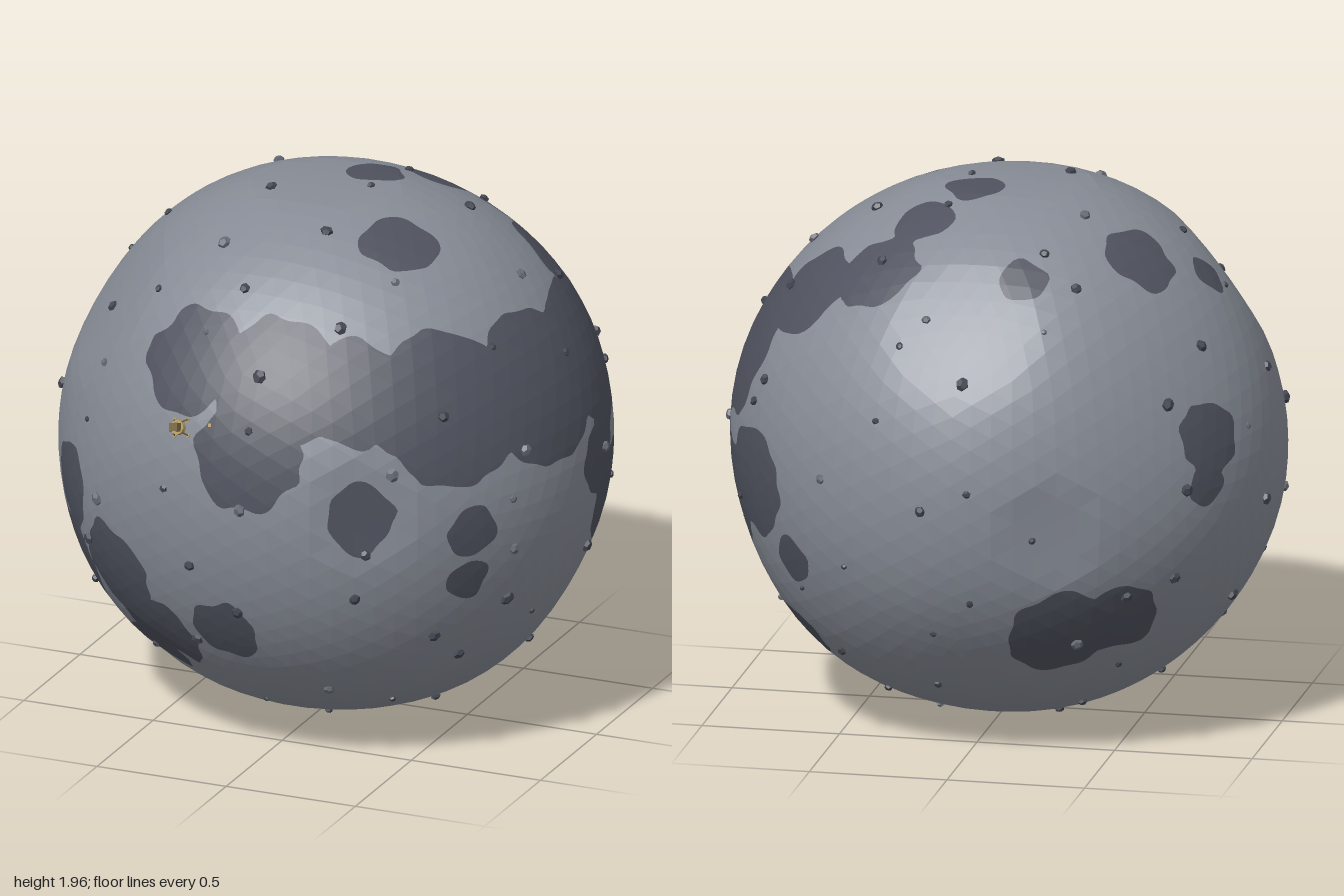
import * as THREE from 'three';
import { mergeGeometries } from 'three/addons/utils/BufferGeometryUtils.js';

const mat = (name, color) => {
  const m = new THREE.MeshStandardMaterial({ color });
  m.name = name;
  return m;
};
const V = (x, y, z) => new THREE.Vector3(x, y, z);
const Y = V(0, 1, 0);

// Patches on one side of the globe: azimuth and elevation in degrees, then [across, up, radius] in hundredths
function patches(az, el, list) {
  const a = THREE.MathUtils.degToRad(az), e = THREE.MathUtils.degToRad(el);
  return list.map(([u, v, r]) => {
    const d = V(u / 98, v / 98, 0);
    d.z = Math.sqrt(Math.max(0, 1 - d.lengthSq()));
    return { d: d.normalize().applyAxisAngle(V(1, 0, 0), -e).applyAxisAngle(Y, a), r: r / 98 };
  });
}
const plains = [
  ...patches(0, 0, [[-20, 53, 20], [12, 50, 24], [6, 25, 20], [40, 48, 19], [-76, -9, 15], [-76, -37, 18],
    [-52, -33, 19], [-36, -55, 18], [-45, -69, 13], [-5, -45, 13]]),
  ...patches(90, 0, [[-58, 40, 29], [-20, 38, 28], [22, 38, 28], [8, 4, 14], [28, -16, 20], [55, -6, 20],
    [-60, -5, 10], [-58, -24, 9], [69, -30, 9], [29, -70, 9], [42, -62, 11], [-3, -92, 13]]),
  ...patches(0, 90, [[35, 54, 16], [62, 43, 18], [23, 36, 11], [9, 15, 11], [36, -27, 14],
    [-19, 60, 8], [-54, 29, 14], [-74, 5, 7]]),
  ...patches(215, 25, [[-15, -80, 19], [6, -78, 16], [41, -21, 14], [38, -36, 9]]),
];
// Bright ring with a dark floor
const [ring, floor] = patches(0, 0, [[48, 5, 23], [47, 4, 13]]);

// Shallow dents, same units
const dents = [...patches(0, 0, [[-70, 55, 30], [-38, -70, 20], [48, 5, 20]]),
  ...patches(0, 90, [[-4, 0, 26]]), ...patches(180, 0, [[0, 60, 28], [35, -10, 20]])];

// Surface point below a direction
function surface(dir) {
  const { x, y, z } = dir;
  let r = 0.988 + 0.005 * (Math.sin(5 * x + 3 * y + 1) + Math.sin(6 * y - 4 * z) * Math.sin(5 * z + 2 * x));
  for (const dent of dents) {
    const t = dir.angleTo(dent.d) / dent.r;
    if (t < 1) r -= 0.022 * (1 - t * t);
  }
  return dir.clone().multiplyScalar(r);
}

// Positive inside the dark plains, with a ragged edge
function plainField(p) {
  const dir = p.clone().normalize();
  const depth = ({ d, r }) => r - dir.angleTo(d);
  let f = Math.max(...plains.map(depth));
  f = Math.max(Math.min(f, -depth(ring)), depth(floor));
  const { x, y, z } = dir;
  return f + 0.012 * Math.sin(19 * x + 7 * y) * Math.sin(17 * z - 9 * y)
    + 0.01 * (Math.sin(41 * x + 9 * z) + Math.sin(45 * y + 13 * x) * Math.sin(38 * z));
}

// Faceted globe, each facet cut along the edge of the plains
function globe() {
  const light = [], dark = [];
  const keep = (tri, sign, out) => {
    const poly = [];
    tri.forEach((a, i) => {
      const b = tri[(i + 1) % 3];
      if (a.f * sign >= 0) poly.push(a.p);
      if (a.f * b.f < 0) poly.push(a.p.clone().lerp(b.p, a.f / (a.f - b.f)));
    });
    for (let i = 1; i + 1 < poly.length; i++) {
      for (const q of [poly[0], poly[i], poly[i + 1]]) out.push(q.x, q.y, q.z);
    }
  };
  const pos = new THREE.IcosahedronGeometry(1, 13).getAttribute('position');
  for (let i = 0; i < pos.count; i += 3) {
    const [a, b, c] = [0, 1, 2].map((k) => surface(V().fromBufferAttribute(pos, i + k).normalize()));
    const fs = [a, b, c].map(plainField);
    const n = Math.min(...fs) > 0.12 || Math.max(...fs) < -0.12 ? 1 : 4;
    const at = (s, t) => {
      const p = a.clone().multiplyScalar(1 - (s + t) / n).addScaledVector(b, s / n).addScaledVector(c, t / n);
      return { p, f: plainField(p) || 1e-6 };
    };
    for (let s = 0; s < n; s++) for (let t = 0; s + t < n; t++) {
      const tris = [[at(s, t), at(s + 1, t), at(s, t + 1)]];
      if (s + t < n - 1) tris.push([at(s + 1, t), at(s + 1, t + 1), at(s, t + 1)]);
      for (const tri of tris) { keep(tri, 1, dark); keep(tri, -1, light); }
    }
  }
  return [light, dark].map((arr) => {
    const g = new THREE.BufferGeometry();
    g.setAttribute('position', new THREE.Float32BufferAttribute(arr, 3));
    g.computeVertexNormals();
    return g;
  });
}

// Pebbles spread on a jittered spiral, in two piles for two greys
function pebbles(count) {
  let seed = 7;
  const rand = () => (seed = (seed * 16807) % 2147483647) / 2147483647;
  const piles = [[], []];
  for (let i = 0; i < count; i++) {
    const y = 1 - 2 * (i + 0.5) / count, a = i * 2.4 + rand() * 0.5, s = Math.sqrt(1 - y * y);
    const dir = V(s * Math.cos(a), y + (rand() - 0.5) * 0.15, s * Math.sin(a)).normalize();
    const r = 0.011 + 0.014 * rand();
    const g = new THREE.DodecahedronGeometry(r, 0);
    g.rotateY(rand() * 6).scale(1, 0.7, 0.8 + 0.4 * rand());
    g.applyQuaternion(new THREE.Quaternion().setFromUnitVectors(Y, dir));
    const p = surface(dir).addScaledVector(dir, r * 0.2);
    g.translate(p.x, p.y, p.z);
    piles[rand() < 0.7 ? 0 : 1].push(g);
  }
  return piles.map((pile) => mergeGeometries(pile));
}

export function createModel() {
  const group = new THREE.Group();
  const moon = new THREE.Group();
  moon.name = 'moon';
  moon.position.set(-0.005, 0.985, 0);
  group.add(moon);
  const add = (parent, name, geo, m, x = 0, y = 0, z = 0) => {
    const mesh = new THREE.Mesh(geo, m);
    mesh.name = name;
    mesh.position.set(x, y, z);
    parent.add(mesh);
    return mesh;
  };
  const stand = (object, x, y, z) => {
    const dir = V(x, y, z).normalize();
    object.position.copy(surface(dir));
    object.quaternion.setFromUnitVectors(Y, dir);
    moon.add(object);
  };

  const [light, dark] = globe();
  add(moon, 'highlands', light, mat('highland grey', 0x868b95));
  add(moon, 'darkPlains', dark, mat('plain grey', 0x4f525e));

  const [darkStones, paleStones] = pebbles(95);
  add(moon, 'darkPebbles', darkStones, mat('dark stone', 0x434651));
  add(moon, 'palePebbles', paleStones, mat('pale stone', 0x666a74));

  // Small landing craft standing on the front
  const gold = mat('gold foil', 0xb39c62), bronze = mat('bronze', 0x74633c);
  const lander = new THREE.Group();
  lander.name = 'lander';
  stand(lander, -0.2, 0.315, 0.92);
  add(lander, 'lowerStage', new THREE.CylinderGeometry(0.028, 0.028, 0.018, 8), gold, 0, 0.022, 0);
  add(lander, 'cabin', new THREE.BoxGeometry(0.034, 0.024, 0.03), bronze, 0, 0.043, 0);
  add(lander, 'hatch', new THREE.BoxGeometry(0.016, 0.014, 0.004), gold, 0, 0.043, 0.016);
  add(lander, 'engineBell', new THREE.CylinderGeometry(0.006, 0.012, 0.012, 8), bronze, 0, 0.008, 0);
  for (let i = 0; i < 4; i++) {
    const leg = new THREE.Group();
    leg.name = 'leg';
    leg.rotation.y = Math.PI / 4 + i * Math.PI / 2;
    lander.add(leg);
    add(leg, 'strut', new THREE.CylinderGeometry(0.003, 0.003, 0.034, 5), bronze, 0.033, 0.015, 0).rotation.z = 0.5;
    add(leg, 'footPad', new THREE.CylinderGeometry(0.007, 0.007, 0.004, 8), gold, 0.041, 0.001, 0);
  }

  // Little instrument box beside the craft
  stand(add(moon, 'instrument', new THREE.BoxGeometry(0.012, 0.012, 0.012), gold), -0.085, 0.34, 0.92);
  return group;
}
